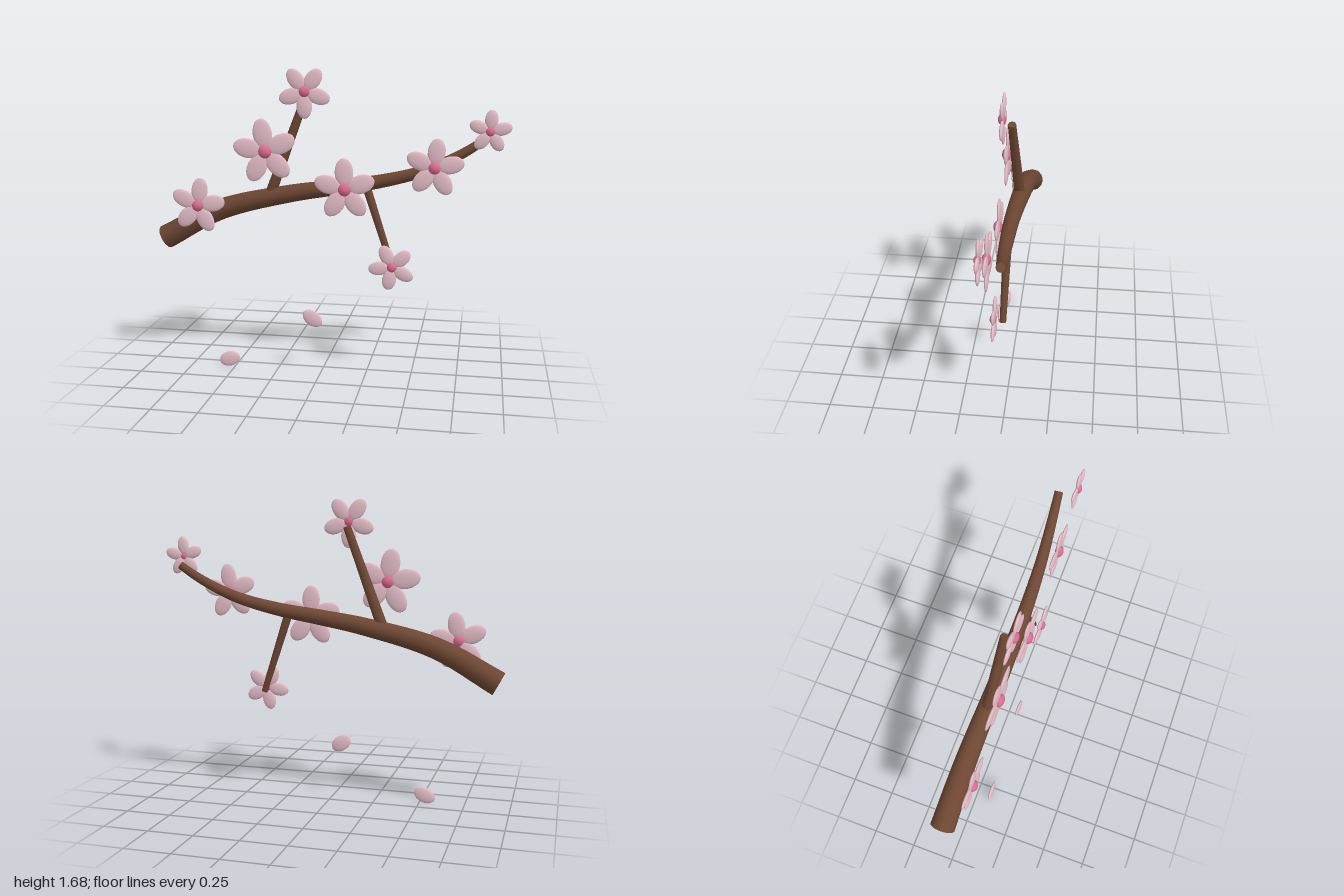
import * as THREE from 'three';

const mat = (name, color) => {
  const m = new THREE.MeshStandardMaterial({ color });
  m.name = name;
  return m;
};

export function createModel() {
  const bark = mat('barkBrown', 0x6e4733);
  const petalPink = mat('petalPink', 0xf2c8d4);
  const heartPink = mat('heartPink', 0xdc6c90);
  const model = new THREE.Group();
  model.name = 'blossomBranch';

  const add = (parent, name, geometry, material) => {
    const mesh = new THREE.Mesh(geometry, material);
    mesh.name = name;
    parent.add(mesh);
    return mesh;
  };

  // Main branch: a tube along a curve, each ring scaled to taper
  const curve = new THREE.CatmullRomCurve3([
    [-0.93, 0.722, -0.034], [-0.6, 0.895, -0.025], [-0.2, 0.998, -0.01], [0.05, 1.04, -0.002],
    [0.3, 1.08, -0.003], [0.55, 1.145, -0.012], [0.75, 1.24, -0.027], [0.868, 1.317, -0.037],
  ].map((p) => new THREE.Vector3(...p)));
  const rings = 40, sides = 12, r0 = 0.068, r1 = 0.023;
  const tube = new THREE.TubeGeometry(curve, rings, 1, sides);
  const pos = tube.attributes.position, v = new THREE.Vector3();
  for (let i = 0; i <= rings; i++) {
    const c = curve.getPointAt(i / rings);
    const r = THREE.MathUtils.lerp(r0, r1, i / rings);
    for (let j = 0; j <= sides; j++) {
      const k = i * (sides + 1) + j;
      v.fromBufferAttribute(pos, k).sub(c).multiplyScalar(r).add(c);
      pos.setXYZ(k, v.x, v.y, v.z);
    }
  }
  const branch = new THREE.Group();
  branch.name = 'branch';
  model.add(branch);
  add(branch, 'branchWood', tube, bark);

  // Flat cut ends
  [[0, r0, -1], [1, r1, 1]].forEach(([t, r, dir]) => {
    const cap = add(branch, 'branchEnd', new THREE.CircleGeometry(r, sides), bark);
    cap.position.copy(curve.getPointAt(t));
    cap.quaternion.setFromUnitVectors(new THREE.Vector3(0, 0, 1), curve.getTangentAt(t).multiplyScalar(dir));
  });

  // Side twigs: tapered cylinders between two points
  const twig = (name, a, b, ra, rb) => {
    const start = new THREE.Vector3(...a), end = new THREE.Vector3(...b);
    const dir = end.clone().sub(start);
    const mesh = add(model, name, new THREE.CylinderGeometry(rb, ra, dir.length(), 8), bark);
    mesh.position.copy(start).add(end).multiplyScalar(0.5);
    mesh.quaternion.setFromUnitVectors(new THREE.Vector3(0, 1, 0), dir.normalize());
  };
  twig('upperTwig', [-0.3, 1.0, -0.01], [-0.095, 1.535, 0.012], 0.031, 0.022);
  twig('lowerTwig', [0.235, 1.06, 0], [0.387, 0.605, 0.012], 0.025, 0.018);

  // Petal: a flattened ball, long axis along the given angle
  const ball = new THREE.SphereGeometry(1, 14, 10);
  const petal = (parent, name, x, y, z, length, width, angle) => {
    const mesh = add(parent, name, ball, petalPink);
    mesh.position.set(x, y, z);
    mesh.rotation.z = angle;
    mesh.scale.set(length, width, 0.011);
  };

  // Flowers: x, y, radius, angle of the first petal in degrees
  [
    [-0.703, 0.928, 0.157, 82], [-0.313, 1.238, 0.18, 98], [-0.093, 1.563, 0.143, 54],
    [0.126, 1.04, 0.17, 92], [0.607, 1.168, 0.157, 84], [0.89, 1.365, 0.113, 86],
    [0.388, 0.621, 0.128, 43],
  ].forEach(([x, y, r, deg]) => {
    const flower = new THREE.Group();
    flower.name = 'flower';
    flower.position.set(x, y, 0.058);
    model.add(flower);
    for (let i = 0; i < 5; i++) {
      const a = THREE.MathUtils.degToRad(deg + i * 72);
      petal(flower, 'petal', Math.cos(a) * r * 0.55, Math.sin(a) * r * 0.55, 0, r * 0.46, r * 0.3, a);
    }
    const heart = add(flower, 'flowerHeart', ball, heartPink);
    heart.position.z = 0.006;
    heart.scale.set(r * 0.205, r * 0.205, r * 0.15);
  });

  // Falling petals
  petal(model, 'fallingPetal', -0.048, 0.315, 0.08, 0.061, 0.043, -0.6);
  petal(model, 'fallingPetal', -0.53, 0.05, 0.08, 0.061, 0.043, 0.38);

  return model;
}
